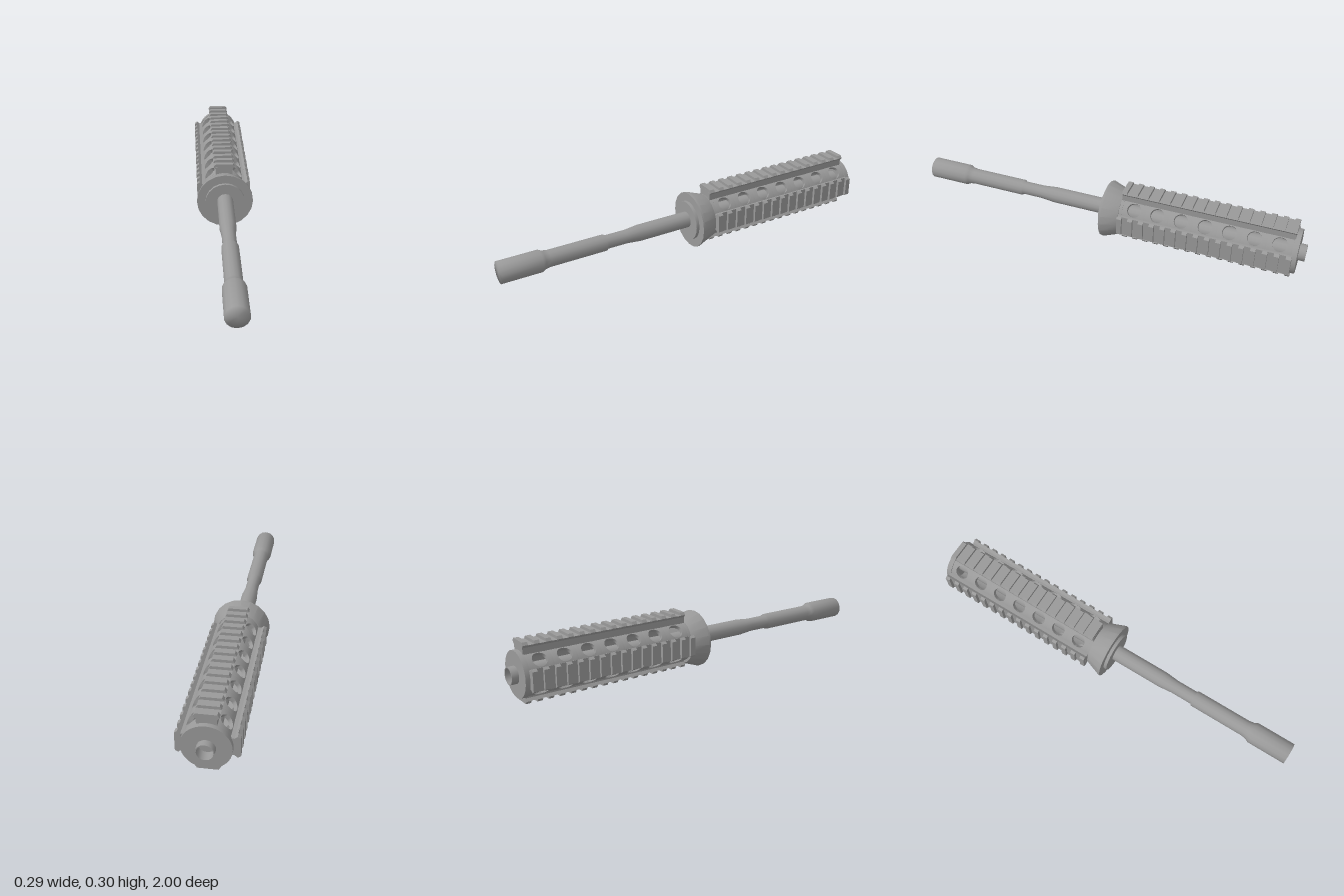
import * as THREE from 'three';
import { toCreasedNormals } from 'three/addons/utils/BufferGeometryUtils.js';
import { ParametricGeometry } from 'three/addons/geometries/ParametricGeometry.js';

const AXIS_Y = 0.152;
const material = new THREE.MeshStandardMaterial({ color: 0x999999 });

function addMesh(parent, name, geometry) {
  const mesh = new THREE.Mesh(geometry, material);
  mesh.name = name;
  parent.add(mesh);
  return mesh;
}

// Turned part along z; profile is [radius, z] from back to front
function turned(profile, sides, crease = 0.7) {
  const points = profile.map(([r, z]) => new THREE.Vector2(r, z));
  const geometry = new THREE.LatheGeometry(points, sides).rotateX(Math.PI / 2);
  return crease ? toCreasedNormals(geometry, crease) : geometry;
}

// Quarter of the tube wall with one round vent, with inner and outer skins
function ventCell(halfLength) {
  const outer = 0.106, inner = 0.086, vent = 0.035, quarter = Math.PI / 4;
  const geometry = new ParametricGeometry((u, v, target) => {
    const a = u * Math.PI * 2;
    const c = Math.cos(a), s = Math.sin(a);
    const m = Math.max(Math.abs(c), Math.abs(s));
    const onOuter = v < 0.5;
    // v runs outer border -> vent edge -> through the wall -> inner border
    const t = onOuter ? Math.min(1, v / (4 / 9)) : Math.min(1, (1 - v) / (4 / 9));
    const r = onOuter ? outer : inner;
    const angle = THREE.MathUtils.lerp(quarter * c / m, vent * c / r, t);
    const z = THREE.MathUtils.lerp(halfLength * s / m, vent * s, t);
    target.set(r * Math.cos(angle), r * Math.sin(angle), z);
  }, 24, 9);
  return toCreasedNormals(geometry, 0.6);
}

// Mirrored rail cross-section extruded along z, from z0 to z1
function railPiece(profile, z0, z1) {
  const right = profile.map(([x, y]) => new THREE.Vector2(x, y));
  const left = profile.map(([x, y]) => new THREE.Vector2(-x, y)).reverse();
  const shape = new THREE.Shape([...right, ...left]);
  return new THREE.ExtrudeGeometry(shape, { depth: z1 - z0, bevelEnabled: false }).translate(0, 0, z0);
}

function createRail(name, h, angle) {
  const rail = new THREE.Group();
  rail.name = name;
  addMesh(rail, 'railBase', railPiece(
    [[0.043, 0.09], [0.043, h - 0.026], [0.053, h - 0.014]], -0.945, -0.093));
  const tooth = railPiece(
    [[0.043, h - 0.026], [0.054, h - 0.013], [0.045, h]], -0.0125, 0.0125);
  for (let i = 0; i < 16; i++) {
    addMesh(rail, 'railTooth', tooth).position.z = -0.106 - i * 0.0552;
  }
  rail.rotation.z = angle;
  return rail;
}

export function createModel() {
  const model = new THREE.Group();
  model.name = 'barrelAssembly';

  // Barrel with stepped waist and thicker muzzle
  addMesh(model, 'barrel', turned([
    [0.041, -0.97], [0.041, 0.29], [0.034, 0.36], [0.034, 0.468],
    [0.041, 0.474], [0.041, 0.76], [0.045, 0.785], [0.054, 0.802],
    [0.054, 1], [0, 1],
  ], 14, 0)).position.y = 0.151;

  // Hollow rear end of the barrel
  addMesh(model, 'barrelRearEnd', turned([
    [0, -0.95], [0.036, -0.95], [0.036, -1], [0.041, -1], [0.041, -0.95],
  ], 16)).position.y = 0.151;

  // Tapered ring in front of the handguard
  addMesh(model, 'taperedRing', turned([
    [0.039, -0.09], [0.114, -0.09], [0.143, -0.01], [0.143, 0],
    [0.1, 0], [0.1, 0.016], [0, 0.016],
  ], 20, 0.4)).position.y = 0.145;

  // Vented handguard tube
  const handguard = new THREE.Group();
  handguard.name = 'handguard';
  handguard.position.y = AXIS_Y;
  model.add(handguard);
  const pitch = 0.1193;
  const cell = ventCell(pitch / 2);
  for (let side = 0; side < 4; side++) {
    for (let i = 0; i < 7; i++) {
      const panel = addMesh(handguard, 'ventPanel', cell);
      panel.rotation.z = Math.PI / 4 + side * Math.PI / 2;
      panel.position.z = -0.165 - i * pitch;
    }
  }
  addMesh(handguard, 'frontCollar', turned([
    [0.086, -0.105], [0.106, -0.105], [0.106, -0.08]], 32));
  addMesh(handguard, 'rearCap', turned([
    [0.039, -0.967], [0.109, -0.967], [0.109, -0.941], [0.039, -0.941]], 32));

  // Four toothed rails, the top one taller
  handguard.add(
    createRail('topRail', 0.153, 0),
    createRail('leftRail', 0.135, -Math.PI / 2),
    createRail('bottomRail', 0.13, Math.PI),
    createRail('rightRail', 0.139, Math.PI / 2),
  );
  return model;
}
